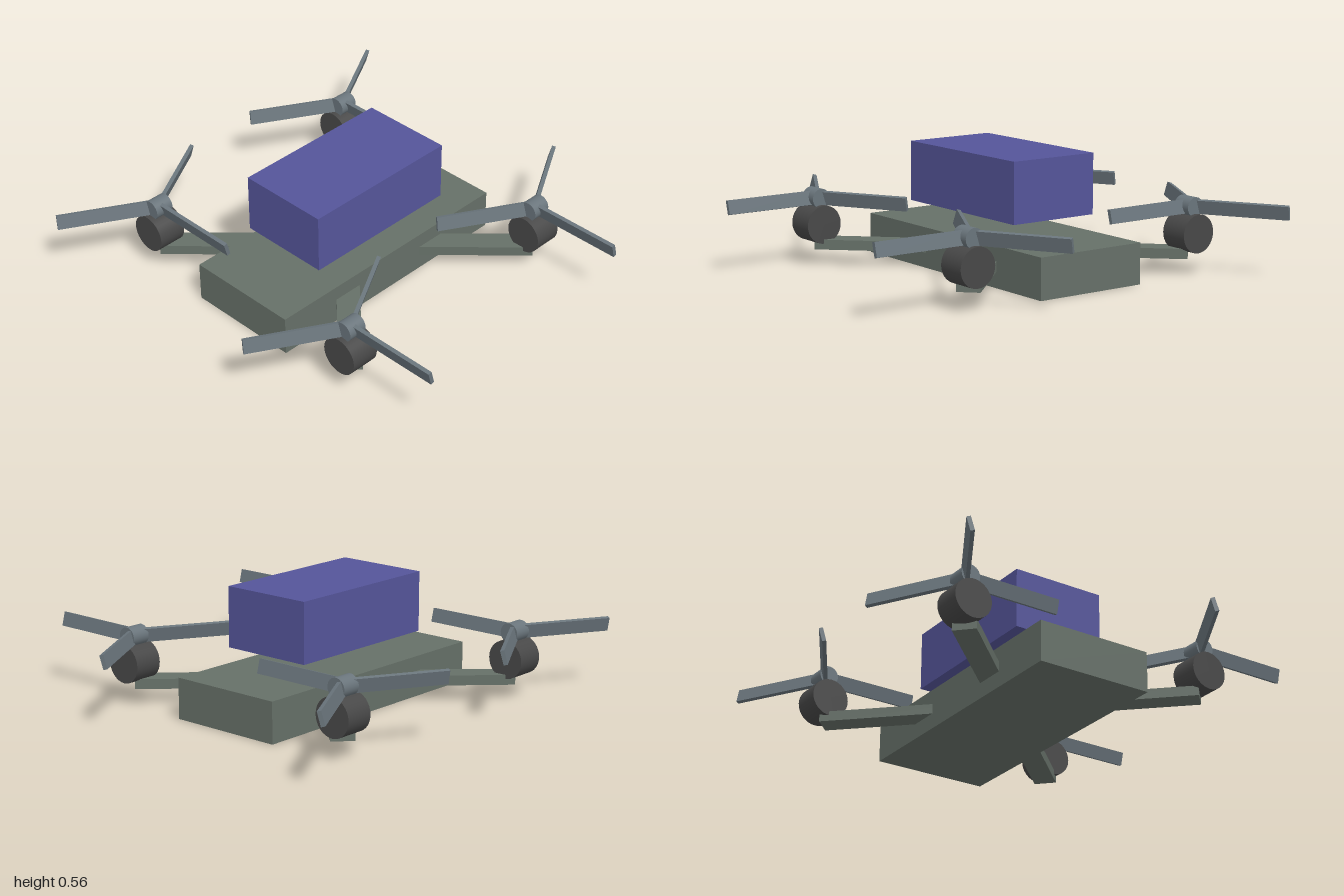
import * as THREE from 'three';

const CX = -0.11; // airframe centreline
const SPAN_X = 0.61, SPAN_Z = 0.59; // motor offsets from the centre

const paint = (color) => new THREE.MeshStandardMaterial({ color });
const frameMat = paint(0x667068);
const payloadMat = paint(0x55559a);
const motorMat = paint(0x484848);
const rotorMat = paint(0x6a757c);

function part(name, geometry, material, x = 0, y = 0, z = 0) {
  const mesh = new THREE.Mesh(geometry, material);
  mesh.name = name;
  mesh.position.set(x, y, z);
  return mesh;
}

// Hub with three upright, slightly pitched blades
function makeRotor() {
  const rotor = new THREE.Group();
  rotor.name = 'rotor';
  const hub = new THREE.CylinderGeometry(0.045, 0.045, 0.09, 32).rotateX(Math.PI / 2);
  rotor.add(part('hub', hub, rotorMat));
  const blade = new THREE.BoxGeometry(0.46, 0.065, 0.018).rotateX(0.26).translate(0.23, 0, 0);
  for (let i = 0; i < 3; i++) {
    const mesh = part('blade', blade, rotorMat);
    mesh.rotation.y = (i * Math.PI * 2) / 3;
    rotor.add(mesh);
  }
  return rotor;
}

export function createModel() {
  const model = new THREE.Group();
  model.name = 'quadcopter';

  // Fuselage and the box carried above it
  model.add(part('fuselage', new THREE.BoxGeometry(0.55, 0.187, 1.3), frameMat, CX, 0.0935, 0));
  model.add(part('payload', new THREE.BoxGeometry(0.44, 0.276, 0.78), payloadMat, CX, 0.418, 0));

  // Four diagonal arms, each ending in a motor and a rotor
  const armLength = Math.hypot(SPAN_X, SPAN_Z);
  const arm = new THREE.BoxGeometry(armLength, 0.046, 0.104).translate(armLength / 2, 0, 0);
  const motor = new THREE.CylinderGeometry(0.088, 0.088, 0.137, 32).rotateX(Math.PI / 2);
  for (const sx of [-1, 1]) {
    for (const sz of [-1, 1]) {
      const x = CX + sx * SPAN_X, z = sz * SPAN_Z;
      const armMesh = part('arm', arm, frameMat, CX, 0.095, 0);
      armMesh.rotation.y = Math.atan2(-sz * SPAN_Z, sx * SPAN_X);
      const rotor = makeRotor();
      rotor.position.set(x, 0.305, z);
      model.add(armMesh, part('motor', motor, motorMat, x, 0.187, z), rotor);
    }
  }
  return model;
}
